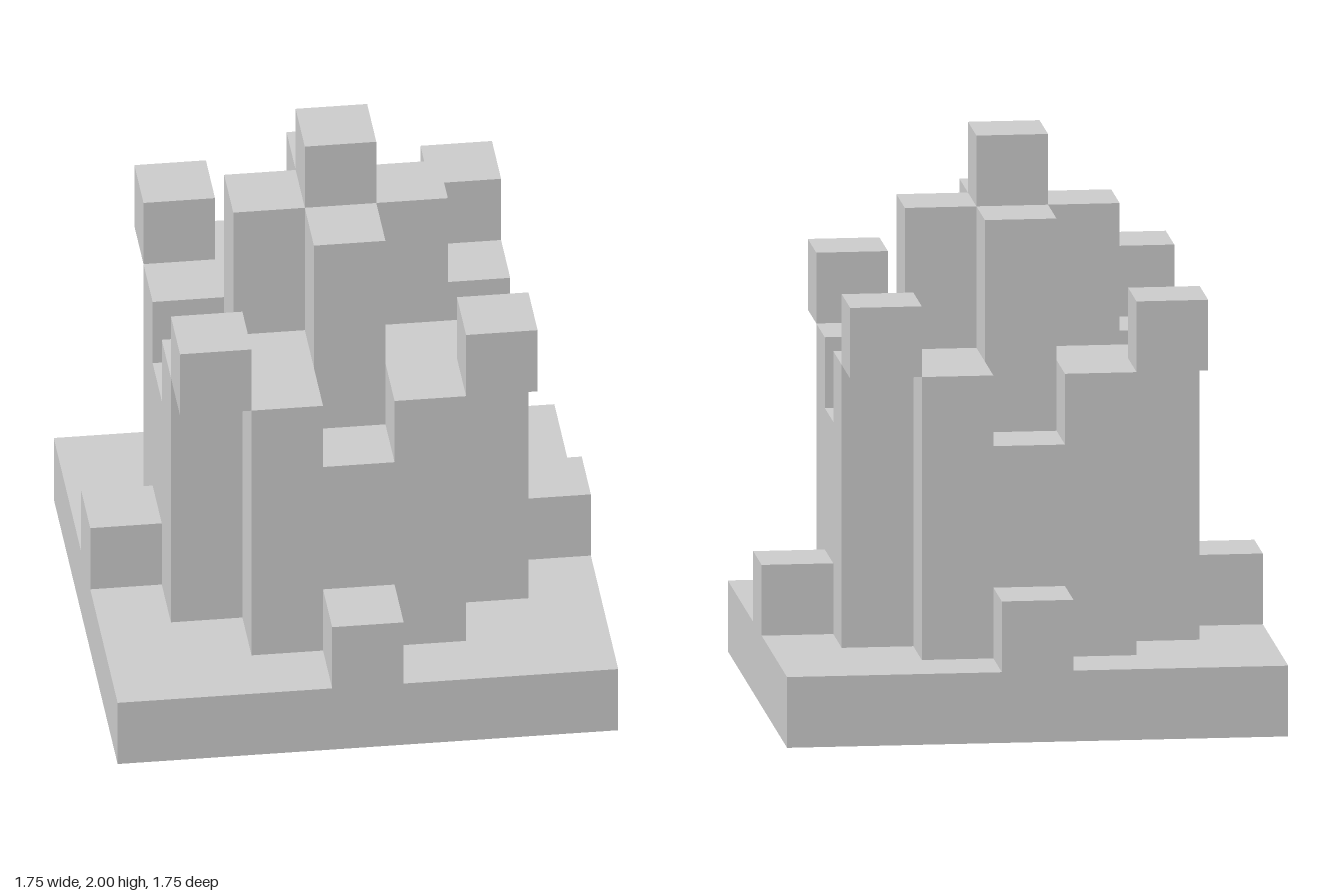
import * as THREE from 'three';

const U = 0.25; // edge of one building block
const material = new THREE.MeshStandardMaterial({ color: 0xcccccc, flatShading: true });

export function createModel() {
  const model = new THREE.Group();
  model.name = 'blockCastle';

  function add(name, geometry, x = 0, y = 0, z = 0, turn = 0) {
    const mesh = new THREE.Mesh(geometry, material);
    mesh.name = name;
    mesh.position.set(x * U, y * U, z * U);
    mesh.rotation.y = turn;
    model.add(mesh);
  }

  // Box sized in blocks, standing on its own origin
  const box = (w, h, d) =>
    new THREE.BoxGeometry(w * U, h * U, d * U).translate(0, (h * U) / 2, 0);

  // Ground plan in blocks, raised to height h
  const raise = (plan, h) => {
    const shape = new THREE.Shape(plan.map(([x, y]) => new THREE.Vector2(x * U, y * U)));
    return new THREE.ExtrudeGeometry(shape, { depth: h * U, bevelEnabled: false }).rotateX(-Math.PI / 2);
  };

  // Cross plan: arms reach a, arms are 2b wide
  const cross = (a, b) => [
    [a, -b], [a, b], [b, b], [b, a], [-b, a], [-b, b],
    [-a, b], [-a, -b], [-b, -b], [-b, -a], [b, -a], [b, -b],
  ];

  // Base slab and keep with recessed corners
  add('base', box(7, 1, 7));
  add('keep', raise(cross(2.5, 1.5), 3), 0, 1, 0);

  // Stepped spire rising from the middle of the keep
  add('spire', raise(cross(1.5, 0.5), 3), 0, 4, 0);
  add('spireTop', box(1, 1, 1), 0, 7, 0);

  // Parts repeated on the four sides and corners
  const parapet = [[0.5, 0.5], [2.5, 0.5], [2.5, 1.5], [1.5, 1.5], [1.5, 2.5], [0.5, 2.5]];
  for (let i = 0; i < 4; i++) {
    const turn = (i * Math.PI) / 2;
    const c = Math.round(Math.cos(turn));
    const s = Math.round(Math.sin(turn));
    add('parapet', raise(parapet, 1), 0, 4, 0, turn);
    add('baseBlock', box(1, 1, 1), 3 * s, 1, 3 * c);
    add('cornerTurret', box(1, 1, 1), 2 * (c - s), 5, 2 * (c + s));
  }

  return model;
}
